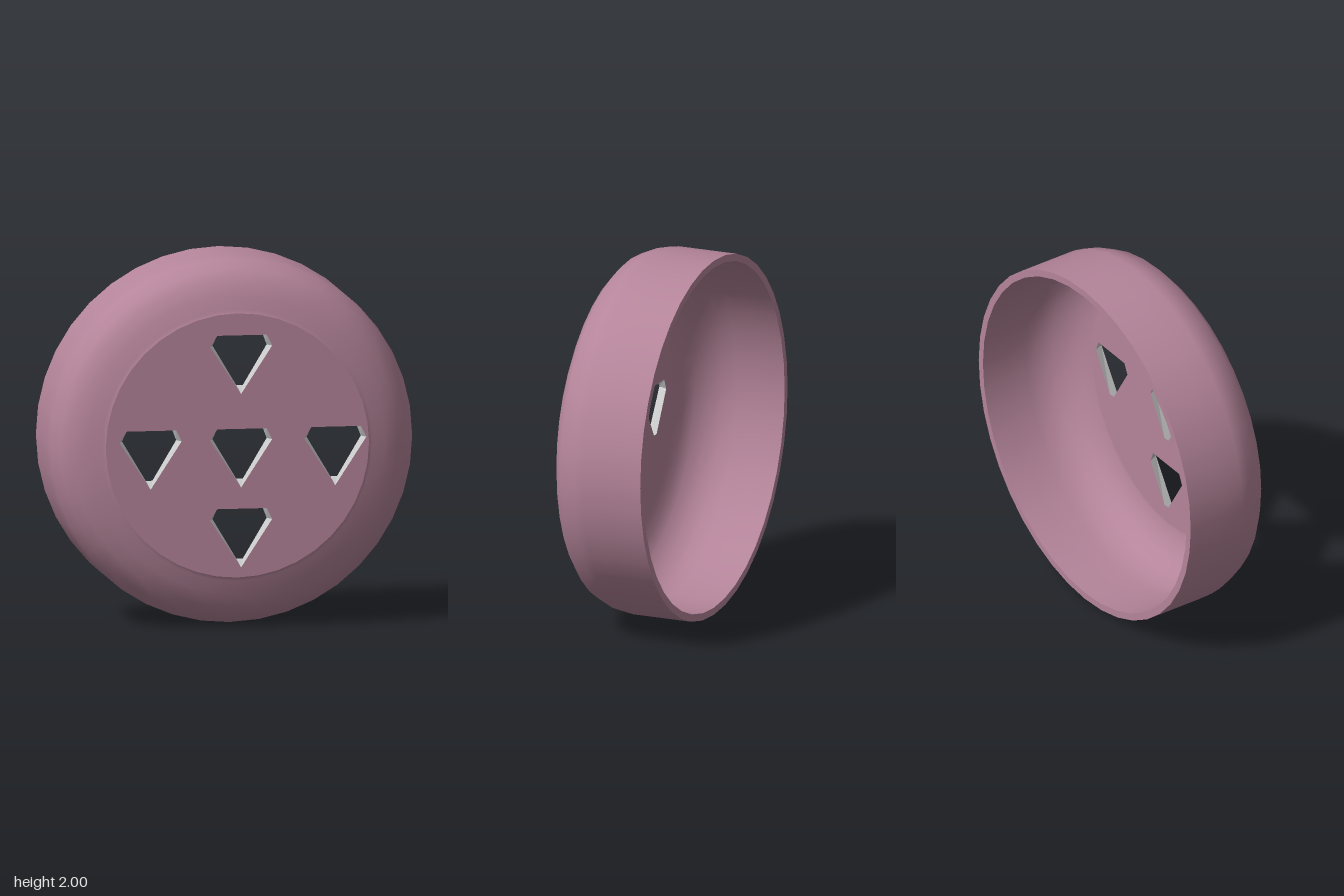
import * as THREE from 'three';

const SEGMENTS = 40;
const FLAT_RADIUS = 0.72;
const FRONT_Z = 0.3;
const INNER_Z = 0.25;

// Gem-shaped hole: matching corners on the front and inner faces, counter-clockwise
const OUTER_GEM = [[0.14, 0.09], [-0.13, 0.09], [-0.17, 0.03], [0, -0.23], [0, -0.23], [0.17, 0.03]];
const INNER_GEM = [[0.125, 0.09], [-0.12, 0.09], [-0.148, 0.03], [-0.018, -0.188], [0.018, -0.188], [0.148, 0.03]];
const HOLE_CENTRES = [[0.02, 0.51], [-0.475, 0], [0.02, 0], [0.535, 0], [0.02, -0.435]];

const placeGem = (gem, [cx, cy]) => gem.map(([x, y]) => new THREE.Vector2(x + cx, y + cy));

// Flat disc pierced by the five holes
function piercedDisc(gem, z) {
  const rim = [];
  for (let i = 0; i < SEGMENTS; i++) {
    const a = (i / SEGMENTS) * Math.PI * 2;
    rim.push(new THREE.Vector2(Math.cos(a) * FLAT_RADIUS, Math.sin(a) * FLAT_RADIUS));
  }
  const shape = new THREE.Shape(rim);
  for (const centre of HOLE_CENTRES) {
    const points = placeGem(gem, centre).filter((p, i, all) => i === 0 || !p.equals(all[i - 1]));
    shape.holes.push(new THREE.Path(points));
  }
  return new THREE.ShapeGeometry(shape).translate(0, 0, z);
}

// Profile of [radius, z] pairs spun about the z axis
function spun(profile) {
  const points = profile.map(([r, z]) => new THREE.Vector2(r, z));
  return new THREE.LatheGeometry(points, SEGMENTS).rotateX(Math.PI / 2);
}

// Tapered walls joining the front outline of a hole to its inner outline
function holeWalls(centre) {
  const front = placeGem(OUTER_GEM, centre).map(p => [p.x, p.y, FRONT_Z]);
  const back = placeGem(INNER_GEM, centre).map(p => [p.x, p.y, INNER_Z]);
  const positions = [];
  for (let i = 0; i < front.length; i++) {
    const j = (i + 1) % front.length;
    if (i !== 3) positions.push(...front[i], ...front[j], ...back[i]);
    positions.push(...front[j], ...back[j], ...back[i]);
  }
  const geometry = new THREE.BufferGeometry();
  geometry.setAttribute('position', new THREE.Float32BufferAttribute(positions, 3));
  geometry.computeVertexNormals();
  return geometry;
}

export function createModel() {
  const model = new THREE.Group();
  model.name = 'roundCap';
  const mauve = new THREE.MeshStandardMaterial({ color: 0xb5859a });
  const grey = new THREE.MeshStandardMaterial({ color: 0xcccccc, side: THREE.DoubleSide });

  const add = (name, geometry, material) => {
    const mesh = new THREE.Mesh(geometry, material);
    mesh.name = name;
    model.add(mesh);
  };

  // Front face and the face inside the cap
  add('frontFace', piercedDisc(OUTER_GEM, FRONT_Z), mauve);
  const inside = piercedDisc(INNER_GEM, INNER_Z);
  const index = inside.index.array;
  for (let i = 0; i < index.length; i += 3) [index[i], index[i + 1]] = [index[i + 1], index[i]];
  inside.computeVertexNormals();
  add('innerFace', inside, mauve);

  // Rounded outer shell, from the open back to the front face
  add('outerShell', spun([
    [1, -0.3], [1, -0.1], [1, 0.04], [0.99, 0.1], [0.95, 0.19], [0.89, 0.24],
    [0.81, 0.275], [0.74, 0.29], [FLAT_RADIUS, FRONT_Z],
  ]), mauve);

  // Hollow inside, from the inner face to the open back
  add('innerShell', spun([
    [FLAT_RADIUS, INNER_Z], [0.74, 0.248], [0.81, 0.23], [0.87, 0.19], [0.92, 0.13],
    [0.95, 0.06], [0.96, -0.02], [0.96, -0.15], [0.96, -0.3],
  ]), mauve);

  // Narrow flat rim around the open back
  add('backRim', spun([[0.96, -0.3], [1, -0.3]]), mauve);

  // Side walls of the five holes
  HOLE_CENTRES.forEach((centre, i) => add(`holeWalls${i + 1}`, holeWalls(centre), grey));

  model.position.y = 1;
  return model;
}
